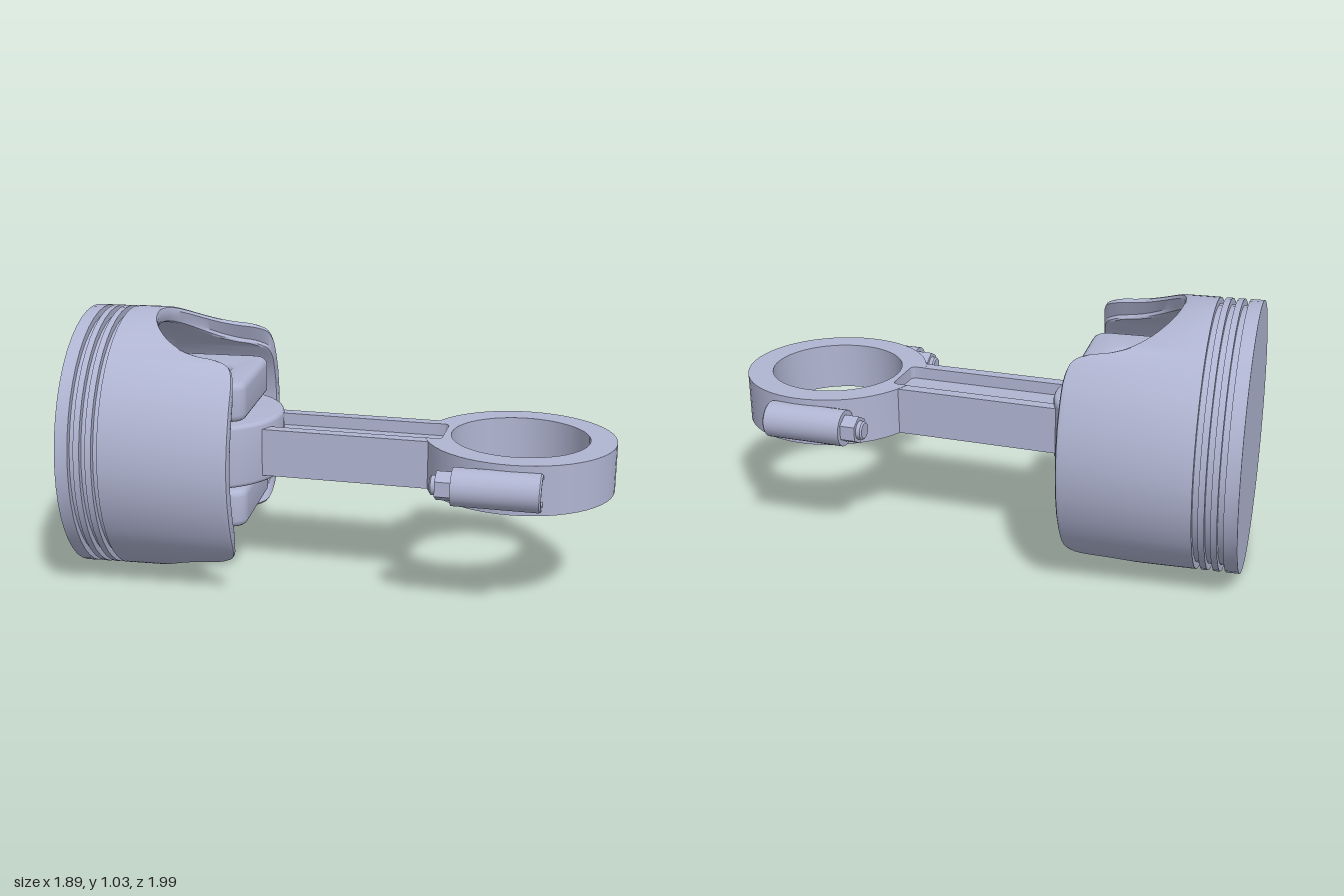
import * as THREE from 'three';
import { toCreasedNormals } from 'three/addons/utils/BufferGeometryUtils.js';

const metal = new THREE.MeshStandardMaterial({ color: 0xb0b5d2 });
metal.name = 'brushedMetal';

function add(parent, name, geometry, crease = 0.6) {
  const mesh = new THREE.Mesh(toCreasedNormals(geometry, crease), metal);
  mesh.name = name;
  parent.add(mesh);
  return mesh;
}

// Turned solid whose axis runs along +z; profile is [radius, z] pairs
function turned(profile, segments) {
  const points = profile.map(([r, z]) => new THREE.Vector2(r, z));
  return new THREE.LatheGeometry(points, segments).rotateX(Math.PI / 2);
}

// Plate from an (x, z) outline between two heights, with optional rounded edges
function slab(shape, y0, y1, round = 0) {
  return new THREE.ExtrudeGeometry(shape, {
    depth: y1 - y0 - 2 * round, curveSegments: 24, bevelEnabled: round > 0,
    bevelThickness: round, bevelSize: round, bevelOffset: -round, bevelSegments: 4,
  }).rotateX(Math.PI / 2).translate(0, y1 - round, 0);
}

function circleHole(shape, x, z, r) {
  const hole = new THREE.Path();
  hole.absarc(x, z, r, 0, Math.PI * 2, true);
  shape.holes.push(hole);
  return shape;
}

function roundedRect(x0, z0, x1, z1, r) {
  const s = new THREE.Shape();
  s.absarc(x1 - r, z0 + r, r, -Math.PI / 2, 0);
  s.absarc(x1 - r, z1 - r, r, 0, Math.PI / 2);
  s.absarc(x0 + r, z1 - r, r, Math.PI / 2, Math.PI);
  s.absarc(x0 + r, z0 + r, r, Math.PI, Math.PI * 1.5);
  return s;
}

const R = 0.513, RI = 0.45, PIN = 0.46;

// Skirt shell with arched windows at top and bottom, plus the hollow inside
function skirtGeometry() {
  const rim = [[0, 0.28], [0.1, 0.293], [0.18, 0.325], [0.25, 0.38], [0.295, 0.45], [0.316, 0.52],
    [0.325, 0.58], [0.345, 0.625], [0.385, 0.645], [0.45, 0.65], [R, 0.65]];
  const curve = new THREE.CatmullRomCurve3(
    rim.map(([x, s]) => new THREE.Vector3(Math.acos(x / R), s, 0)).reverse(), false, 'centripetal');
  const k = Math.acos(0.335 / RI) / Math.acos(0.335 / R);
  const quarter = curve.getPoints(30).map((p) => {
    const x = R * Math.cos(p.x);
    return { outer: p.x, inner: x < 0.335 ? Math.acos(x / RI) : p.x * k, s: p.y };
  });
  const columns = [];
  for (let q = 0; q < 4; q++) {
    const odd = q % 2 === 1;
    const turn = (t) => (odd ? (q + 1) * Math.PI / 2 - t : q * Math.PI / 2 + t);
    const list = odd ? quarter.slice().reverse() : quarter;
    for (const c of list.slice(0, -1)) columns.push({ outer: turn(c.outer), inner: turn(c.inner), s: c.s });
  }
  const positions = [], index = [];
  let rows = 0;
  for (const { outer, inner, s } of columns) {
    const section = [[R, 0.163, outer], [R, s - 0.018, outer], [R - 0.005, s - 0.005, outer], [R - 0.018, s, outer],
      [RI + 0.018, s, inner], [RI + 0.005, s - 0.005, inner], [RI, s - 0.018, inner],
      [RI, 0.25, inner], [0.435, 0.21, inner], [0.4, 0.185, inner], [0.36, 0.18, inner], [0.001, 0.18, inner]];
    rows = section.length;
    for (const [r, z, a] of section) positions.push(r * Math.cos(a), r * Math.sin(a), z);
  }
  const n = columns.length;
  for (let j = 0; j < n; j++) {
    for (let i = 0; i < rows - 1; i++) {
      const a = j * rows + i, b = ((j + 1) % n) * rows + i;
      index.push(a, b, b + 1, a, b + 1, a + 1);
    }
  }
  const g = new THREE.BufferGeometry();
  g.setAttribute('position', new THREE.Float32BufferAttribute(positions, 3));
  g.setIndex(index);
  return g;
}

function buildPiston() {
  const piston = new THREE.Group();
  piston.name = 'piston';

  // Crown with three ring grooves
  const profile = [[0, 0], [R, 0]];
  for (const z of [0.05, 0.095, 0.14]) {
    profile.push([R, z], [R - 0.025, z], [R - 0.025, z + 0.022], [R, z + 0.022]);
  }
  profile.push([R, 0.166]);
  add(piston, 'crown', turned(profile, 48));
  add(piston, 'skirt', skirtGeometry());

  // Pin bosses above and below the rod
  for (const side of [-1, 1]) {
    const shape = circleHole(roundedRect(-0.25, 0.16, 0.25, PIN + 0.197, 0.06), 0, PIN, 0.08);
    const [y0, y1] = side > 0 ? [0.135, 0.285] : [-0.285, -0.135];
    add(piston, side > 0 ? 'upperPinBoss' : 'lowerPinBoss', slab(shape, y0, y1, 0.028));
  }

  // Hollow wrist pin
  const pin = new THREE.Shape();
  pin.absarc(0, PIN, 0.083, 0, Math.PI * 2);
  add(piston, 'wristPin', slab(circleHole(pin, 0, PIN, 0.053), -0.265, 0.265, 0.006));
  return piston;
}

function buildRod() {
  const rod = new THREE.Group();
  rod.name = 'connectingRod';
  const L = 1.228, H = 0.093, RO = 0.357;

  // Small end around the pin
  const small = new THREE.Shape();
  small.absarc(0, 0, 0.3, 0, Math.PI * 2);
  add(rod, 'smallEnd', slab(circleHole(small, 0, 0, 0.08), -0.122, 0.122, 0.016));

  // Shank: thin web between two rails
  add(rod, 'shankWeb', new THREE.BoxGeometry(0.21, 0.09, 0.71).translate(0, 0, 0.6));
  for (const side of [-1, 1]) {
    add(rod, 'shankRail', new THREE.BoxGeometry(0.048, H * 2 - 0.002, 0.68).translate(side * 0.122, 0, 0.57));
  }

  // Big end ring, notched where the shank pocket runs into it
  const notch = Math.asin(0.098 / RO);
  const ring = new THREE.Shape();
  ring.absarc(0, L, RO, -Math.PI / 2 + notch, Math.PI * 1.5 - notch);
  ring.lineTo(-0.098, 0.92);
  ring.quadraticCurveTo(-0.098, 0.945, -0.073, 0.945);
  ring.lineTo(0.073, 0.945);
  ring.quadraticCurveTo(0.098, 0.945, 0.098, 0.92);
  add(rod, 'bigEnd', slab(circleHole(ring, 0, L, 0.259), -H, H), 0.4);

  // Bolt lugs on both sides of the ring
  for (const side of [-1, 1]) {
    const lug = new THREE.Group();
    lug.name = side > 0 ? 'leftBoltLug' : 'rightBoltLug';
    lug.position.set(side * 0.365, 0, L);
    add(lug, 'lugBarrel', turned([[0, -0.2], [0.07, -0.2], [0.07, 0.112], [0.064, 0.118],
      [0.05, 0.118], [0.05, 0.09], [0, 0.09]], 28));
    const hex = (r, z0, z1) => new THREE.CylinderGeometry(r, r, z1 - z0, 6)
      .rotateX(Math.PI / 2).translate(0, 0, (z0 + z1) / 2);
    add(lug, 'nut', hex(0.055, -0.258, -0.198));
    add(lug, 'boltTip', turned([[0, -0.28], [0.03, -0.28], [0.036, -0.274], [0.036, -0.25]], 20));
    add(lug, 'boltHead', hex(0.034, 0.08, 0.11));
    rod.add(lug);
  }
  return rod;
}

export function createModel() {
  const model = new THREE.Group();
  model.name = 'pistonAndRod';

  const piston = buildPiston();
  piston.position.set(-0.59, 0.515, -0.64);
  piston.rotation.y = Math.PI / 4;

  const rod = buildRod();
  rod.position.set(-0.265, 0.516, -0.315);
  rod.rotation.y = Math.atan2(0.797, 0.934);

  model.add(piston, rod);
  return model;
}
